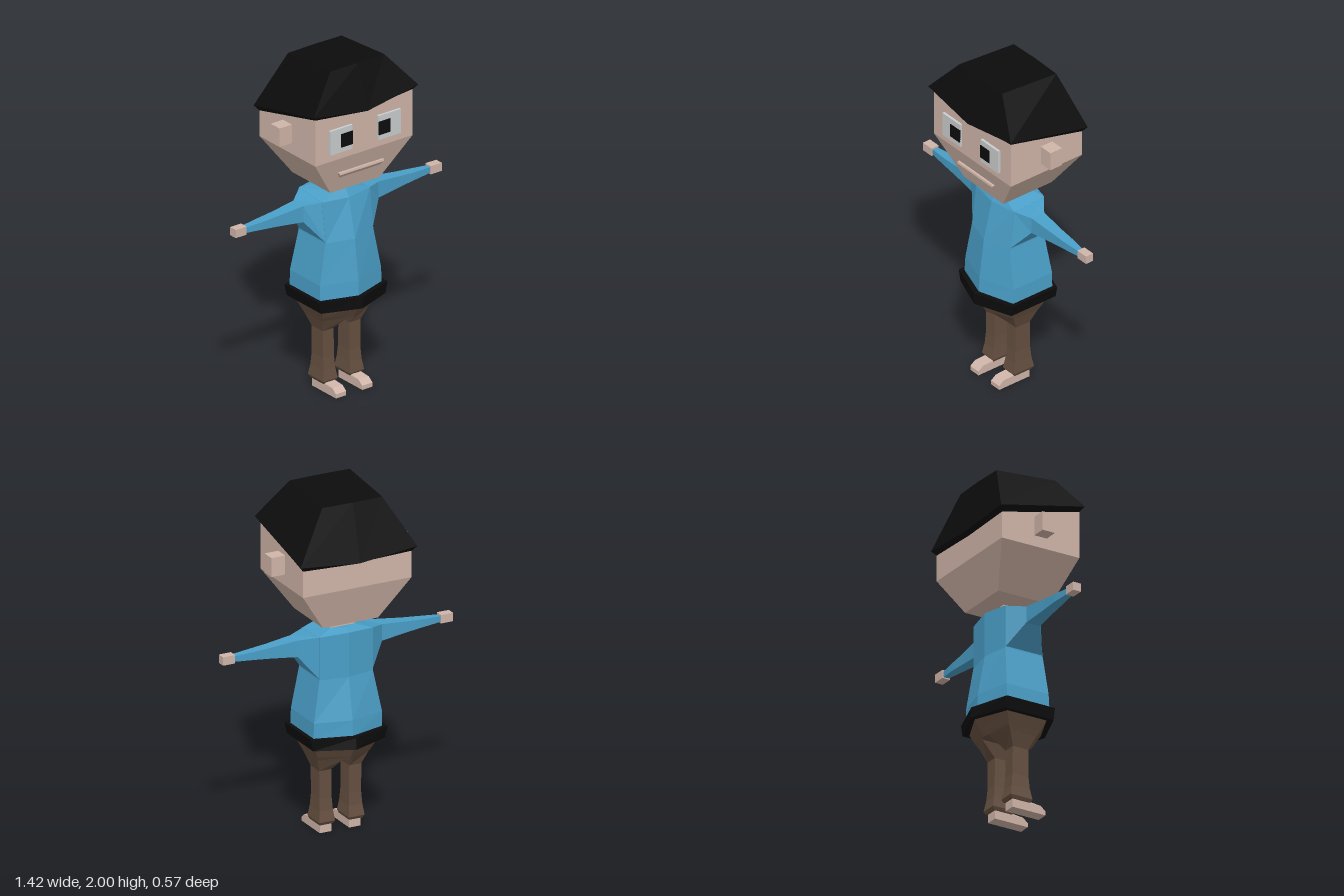
import * as THREE from 'three';

const mat = (name, color) => {
  const m = new THREE.MeshStandardMaterial({ color, flatShading: true });
  m.name = name;
  return m;
};

// Skins a closed solid through cross-sections (counter-clockwise seen from the end of the loft).
function loft(rings) {
  const pos = [];
  const tri = (a, b, c) => pos.push(...a, ...b, ...c);
  const n = rings[0].length;
  for (let r = 0; r < rings.length - 1; r++) {
    const a = rings[r], b = rings[r + 1];
    for (let i = 0; i < n; i++) {
      const j = (i + 1) % n;
      tri(a[i], a[j], b[j]);
      tri(a[i], b[j], b[i]);
    }
  }
  const first = rings[0], last = rings[rings.length - 1];
  for (let i = 1; i < n - 1; i++) {
    tri(first[0], first[i + 1], first[i]);
    tri(last[0], last[i], last[i + 1]);
  }
  const g = new THREE.BufferGeometry();
  g.setAttribute('position', new THREE.Float32BufferAttribute(pos, 3));
  g.computeVertexNormals();
  return g;
}

// Reflects cross-sections to the other side, keeping faces outward.
const flip = (rings) => rings.map((r) => r.map(([x, y, z]) => [-x, y, z]).reverse());

// Six-sided section; each pair is [y, z]: front corners, front middle, back corners, back middle.
const hex = (w, [yf, zf], [yfm, zfm], [yb, zb], [ybm, zbm]) => [
  [-w, yf, zf], [0, yfm, zfm], [w, yf, zf], [w, yb, zb], [0, ybm, zbm], [-w, yb, zb],
];
const level = (y, w, zf, zfm, zb, zbm) => hex(w, [y, zf], [y, zfm], [y, zb], [y, zbm]);

// Four-sided level section from x0 to x1 and z0 (back) to z1 (front).
const quad = (y, x0, x1, z0, z1) => [[x0, y, z1], [x1, y, z1], [x1, y, z0], [x0, y, z0]];

export function createModel() {
  const model = new THREE.Group();
  const skin = mat('skin', 0xd0b5a8);
  const shirt = mat('shirt blue', 0x4a9fc8);
  const black = mat('black', 0x0c0c0c);
  const brown = mat('trouser brown', 0x654f40);
  const white = mat('eye white', 0xcacdcd);

  const add = (name, geometry, material) => {
    const m = new THREE.Mesh(geometry, material);
    m.name = name;
    model.add(m);
    return m;
  };
  const box = (name, material, x0, x1, y0, y1, z0, z1) => {
    const m = add(name, new THREE.BoxGeometry(x1 - x0, y1 - y0, z1 - z0), material);
    m.position.set((x0 + x1) / 2, (y0 + y1) / 2, (z0 + z1) / 2);
  };
  const pair = (name, rings, material) => {
    add('left' + name, loft(rings), material);
    add('right' + name, loft(flip(rings)), material);
  };

  // Head: tapered jaw, slanted top tucked under the hair
  add('head', loft([
    quad(1.23, -0.07, 0.07, -0.07, 0.07),
    quad(1.255, -0.17, 0.17, -0.17, 0.17),
    quad(1.49, -0.335, 0.335, -0.25, 0.25),
    [[-0.335, 1.79, 0.25], [0.335, 1.79, 0.25], [0.335, 1.68, -0.25], [-0.335, 1.68, -0.25]],
  ]), skin);
  box('neck', skin, -0.075, 0.075, 1.18, 1.25, -0.075, 0.075);

  // Hair cap with a thin slanted rim
  add('hair', loft([
    hex(0.335, [1.768, 0.25], [1.735, 0.25], [1.645, -0.25], [1.635, -0.25]),
    hex(0.36, [1.795, 0.27], [1.745, 0.285], [1.675, -0.27], [1.645, -0.285]),
    hex(0.185, [2.0, 0.19], [2.0, 0.195], [1.97, -0.19], [1.97, -0.195]),
  ]), black);

  // Ears, eyes and pupils
  for (const s of [1, -1]) {
    const side = s > 0 ? 'left' : 'right';
    const span = (a, b) => (s > 0 ? [a, b] : [-b, -a]);
    box(side + 'Ear', skin, ...span(0.32, 0.42), 1.555, 1.667, -0.04, 0.04);
    box(side + 'Eye', white, ...span(0.09, 0.243), 1.535, 1.68, 0.24, 0.265);
    box(side + 'Pupil', black, ...span(0.09, 0.17), 1.565, 1.645, 0.262, 0.269);
  }

  // Mouth: thin wedge lip on the sloping jaw
  add('mouth', loft([
    quad(1.355, -0.137, 0.137, 0.18, 0.212),
    quad(1.378, -0.15, 0.15, 0.18, 0.232),
    quad(1.39, -0.155, 0.155, 0.18, 0.23),
  ]), skin);

  // Shirt body
  add('torso', loft([
    level(0.59, 0.212, 0.135, 0.205, -0.14, -0.2),
    level(0.69, 0.21, 0.13, 0.2, -0.14, -0.195),
    level(0.93, 0.165, 0.12, 0.17, -0.12, -0.15),
    hex(0.165, [1.165, 0.09], [1.16, 0.115], [1.18, -0.12], [1.19, -0.15]),
    hex(0.075, [1.205, 0.08], [1.205, 0.09], [1.205, -0.075], [1.205, -0.1]),
  ]), shirt);

  // Sleeves: wide at the shoulder, narrow at the wrist
  const sleeve = (x, y0, y1, z) => [[x, y0, -z], [x, y1, -z], [x, y1, z], [x, y0, z]];
  pair('Sleeve', [
    [[0.16, 0.93, -0.12], [0.16, 1.18, -0.12], [0.16, 1.165, 0.09], [0.16, 0.93, 0.12]],
    sleeve(0.26, 1.058, 1.155, 0.045),
    sleeve(0.42, 1.074, 1.138, 0.033),
    sleeve(0.52, 1.083, 1.13, 0.028),
    sleeve(0.645, 1.09, 1.122, 0.016),
  ], shirt);
  pair('Hand', [sleeve(0.635, 1.083, 1.132, 0.025), sleeve(0.71, 1.083, 1.132, 0.025)], skin);

  // Belt band
  add('belt', loft([
    level(0.535, 0.222, 0.155, 0.238, -0.155, -0.243),
    level(0.602, 0.236, 0.155, 0.238, -0.155, -0.236),
  ]), black);

  // Trousers: hips, then two flared legs
  add('hips', loft([
    level(0.445, 0.158, 0.085, 0.15, -0.085, -0.16),
    level(0.47, 0.168, 0.1, 0.165, -0.1, -0.175),
    level(0.545, 0.2, 0.13, 0.215, -0.13, -0.22),
  ]), brown);
  pair('Leg', [
    quad(0.05, 0.05, 0.132, -0.06, 0.06),
    quad(0.068, 0.042, 0.14, -0.07, 0.07),
    quad(0.13, 0.05, 0.132, -0.058, 0.058),
    quad(0.2, 0.054, 0.128, -0.052, 0.052),
    quad(0.365, 0.055, 0.13, -0.05, 0.05),
    [[0.035, 0.447, 0.137], [0.158, 0.447, 0.085], [0.158, 0.447, -0.085], [0.035, 0.447, -0.145]],
  ], brown);

  // Feet with a chamfered toe
  pair('Foot', [
    quad(0, 0.055, 0.126, -0.05, 0.163),
    quad(0.025, 0.055, 0.126, -0.05, 0.163),
    quad(0.05, 0.055, 0.126, -0.05, 0.13),
    quad(0.06, 0.06, 0.12, -0.045, 0.05),
  ], skin);

  return model;
}
